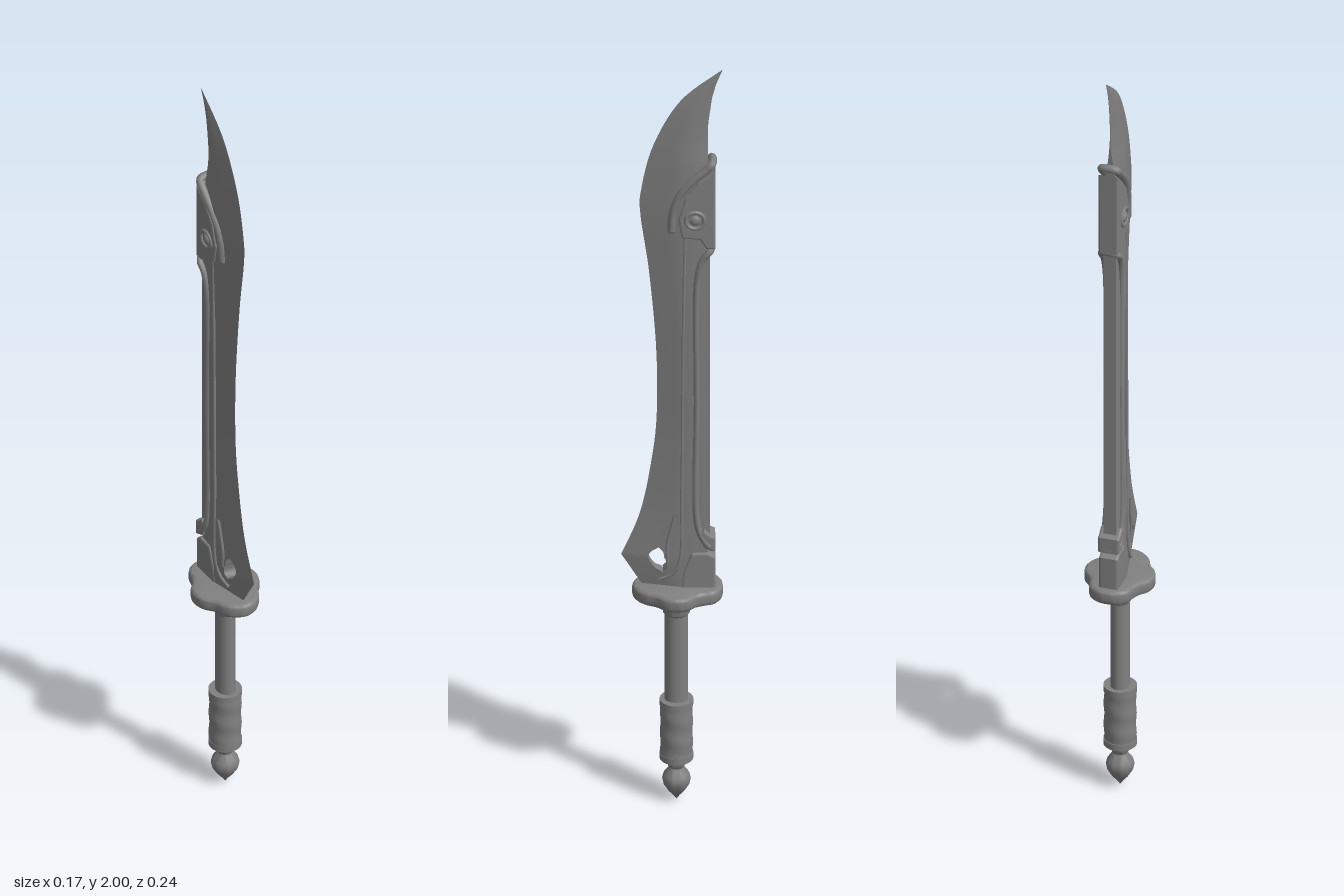
import * as THREE from 'three';
import { toCreasedNormals } from 'three/addons/utils/BufferGeometryUtils.js';

const mat = new THREE.MeshStandardMaterial({ color: 0x808080, side: THREE.DoubleSide });
const lerp = THREE.MathUtils.lerp;
const v3 = (p) => new THREE.Vector3(...p);

// Piecewise linear lookup in a table of [y, value], y descending
function table(rows, y) {
  for (let i = 1; i < rows.length; i++) {
    const [a, va] = rows[i - 1], [b, vb] = rows[i];
    if (y >= b) return lerp(va, vb, THREE.MathUtils.clamp((a - y) / (a - b), 0, 1));
  }
  return rows[rows.length - 1][1];
}

// Skin rings of equal length, ordered from top to bottom
function loft(rings) {
  const n = rings[0].length, index = [];
  for (let i = 0; i < rings.length - 1; i++) {
    for (let j = 0; j < n; j++) {
      const k = (j + 1) % n;
      const a = i * n + j, b = i * n + k, c = a + n, d = b + n;
      index.push(a, c, d, a, d, b);
    }
  }
  const g = new THREE.BufferGeometry();
  g.setAttribute('position', new THREE.Float32BufferAttribute(rings.flat(2), 3));
  g.setIndex(index);
  return toCreasedNormals(g, 1);
}

// Flat plate drawn as [z, y] points and thickened along x
function plate(points, half) {
  const bevel = 0.005;
  const shape = new THREE.Shape(points.map(([z, y]) => new THREE.Vector2(z, y)));
  const g = new THREE.ExtrudeGeometry(shape, {
    depth: 2 * (half - bevel), bevelThickness: bevel, bevelSize: bevel, bevelOffset: -bevel, bevelSegments: 2,
  });
  return g.translate(0, 0, bevel - half).rotateY(-Math.PI / 2);
}

// Path on the left side, carried over the spine to its mirror on the right
function wrapPath(points, closed) {
  const other = points.map(([x, y, z]) => [-x, y, z]).reverse();
  return new THREE.CatmullRomCurve3([...points, ...other].map(v3), closed, 'centripetal');
}

export function createModel() {
  const model = new THREE.Group();
  const add = (name, geometry, x = 0, y = 0, z = 0) => {
    const m = new THREE.Mesh(geometry, mat);
    m.name = name;
    m.position.set(x, y, z);
    model.add(m);
  };
  const lathe = (points) =>
    toCreasedNormals(new THREE.LatheGeometry(points.map((p) => new THREE.Vector2(...p)), 28), 0.7);

  // Blade: a wedge with a ridge, split along its length so the hole can open
  const edge = new THREE.SplineCurve([
    [-0.12, 2], [-0.02, 1.915], [0.045, 1.793], [0.074, 1.67], [0.075, 1.6], [0.055, 1.448],
    [0.038, 1.236], [0.037, 1.05], [0.051, 0.918], [0.077, 0.785], [0.121, 0.673],
  ].map((p) => new THREE.Vector2(...p)));
  const rows = edge.getPoints(100).map((p) => [p.y, p.x]);
  for (let i = 1; i <= 14; i++) rows.push([lerp(0.673, 0.58, i / 14), lerp(0.121, 0.065, i / 14)]);
  const backZ = [[2, -0.12], [1.96, -0.104], [1.92, -0.094], [1.85, -0.085], [0.58, -0.085]];
  const ridgeX = [[2, 0], [1.9, 0.011], [1.75, 0.02], [1.6, 0.022], [0.58, 0.022]];
  const backX = [[2, 0], [1.8, 0.001], [1.7, 0.015], [0.58, 0.016]];
  const front = [], rear = [];
  for (const [y, zf] of rows) {
    const zb = table(backZ, y), t = table(ridgeX, y), tb = table(backX, y);
    const zr = lerp(zf, zb, 0.62), zm = lerp(zf, zb, 0.4);
    const w = 0.02 * Math.sqrt(Math.max(0, 1 - ((y - 0.664) / 0.031) ** 2));
    const thick = (z) => t * (zf - z) / Math.max(zf - zr, 1e-5);
    const ta = thick(zm + w), tc = thick(zm - w);
    front.push([[0, y, zf], [ta, y, zm + w], [-ta, y, zm + w]]);
    rear.push([[tc, y, zm - w], [t, y, zr], [tb, y, zb], [-tb, y, zb], [-t, y, zr], [-tc, y, zm - w]]);
  }
  add('bladeEdge', loft(front));
  add('bladeBody', loft(rear));

  // Rail along the spine
  add('spineRail', new THREE.BoxGeometry(0.032, 0.78, 0.014), 0, 1.12, -0.082);

  // Raised border that loops round the spine at both ends
  const border = wrapPath([
    [0.02, 0.7, -0.092], [0.021, 0.72, -0.075], [0.019, 0.76, -0.06], [0.018, 1.1, -0.058],
    [0.019, 1.44, -0.06], [0.021, 1.49, -0.072], [0.02, 1.515, -0.092],
  ], true);
  add('spineBorder', new THREE.TubeGeometry(border, 200, 0.008, 8, true));

  // Fitting near the tip, with a hooked band over its top
  add('upperFitting', plate([
    [-0.102, 1.735], [-0.06, 1.7], [-0.03, 1.66], [-0.014, 1.6], [-0.022, 1.55],
    [-0.065, 1.545], [-0.08, 1.52], [-0.102, 1.52],
  ], 0.025));
  const hook = [
    [0.014, 1.57, 0.002], [0.016, 1.62, -0.002], [0.018, 1.665, -0.018], [0.02, 1.705, -0.048],
    [0.02, 1.735, -0.08], [0.018, 1.75, -0.094],
  ];
  add('hookBand', new THREE.TubeGeometry(wrapPath(hook, false), 100, 0.01, 8));

  // Fitting at the foot of the blade
  add('lowerFitting', plate([
    [-0.102, 0.58], [-0.102, 0.675], [-0.085, 0.685], [-0.045, 0.685], [-0.025, 0.63], [-0.02, 0.58],
  ], 0.024));
  add('lowerHook', plate([
    [-0.102, 0.69], [-0.102, 0.73], [-0.09, 0.735], [-0.075, 0.75], [-0.065, 0.74], [-0.075, 0.7],
  ], 0.027));

  for (const s of [1, -1]) {
    // Hook end, boss, fine line and rib on each face
    add('hookEnd', new THREE.SphereGeometry(0.01, 10, 8), s * 0.014, 1.57, 0.002);
    add('bossRing', new THREE.TorusGeometry(0.022, 0.005, 8, 24).rotateY(Math.PI / 2), s * 0.025, 1.6, -0.054);
    add('boss', new THREE.SphereGeometry(0.013, 14, 10).scale(0.5, 1, 1), s * 0.025, 1.6, -0.054);
    const line = new THREE.CatmullRomCurve3([
      [s * 0.021, 1.55, -0.03], [s * 0.021, 1.3, -0.026], [s * 0.021, 0.85, -0.022],
      [s * 0.022, 0.66, -0.016], [s * 0.02, 0.625, 0.004], [s * 0.015, 0.612, 0.03],
    ].map(v3));
    add('faceLine', new THREE.TubeGeometry(line, 60, 0.004, 6));
    const rib = new THREE.CatmullRomCurve3([
      [s * 0.018, 0.66, 0.01], [s * 0.02, 0.71, 0.012], [s * 0.02, 0.75, 0.003], [s * 0.021, 0.79, -0.006],
    ].map(v3));
    add('holeRib', new THREE.TubeGeometry(rib, 24, 0.004, 6));
  }

  // Lobed guard
  const half = [
    [0.027, -0.115], [0.047, -0.099], [0.055, -0.075], [0.063, -0.056], [0.08, -0.036], [0.086, -0.01],
    [0.078, 0.018], [0.06, 0.04], [0.049, 0.064], [0.029, 0.085],
  ];
  const outline = [[0, -0.12], ...half, [0, 0.095], ...half.map(([x, z]) => [-x, z]).reverse()];
  const spline = new THREE.CatmullRomCurve3(outline.map(([x, z]) => v3([x, -z, 0])), true);
  const guardShape = new THREE.Shape(spline.getPoints(88).slice(0, -1).map((p) => new THREE.Vector2(p.x, p.y)));
  const guard = new THREE.ExtrudeGeometry(guardShape, {
    depth: 0.018, bevelThickness: 0.009, bevelSize: 0.008, bevelOffset: -0.008, bevelSegments: 3,
  }).rotateX(-Math.PI / 2);
  add('guard', toCreasedNormals(guard, 0.6), 0, 0.566, 0);

  // Oval collar and handle
  const collar = lathe([
    [0, 0.508], [0.026, 0.508], [0.031, 0.514], [0.031, 0.53], [0.036, 0.537], [0.036, 0.562], [0, 0.562],
  ]);
  add('collar', collar.scale(0.88, 1, 1.03), 0, 0, -0.01);
  add('handle', new THREE.CylinderGeometry(0.028, 0.028, 0.27, 24).scale(0.82, 1, 1), 0, 0.39, -0.01);

  // Wrapped grip with shallow slanted folds
  const grip = new THREE.CylinderGeometry(0.0385, 0.0385, 0.15, 32, 20, true).translate(0, 0.195, 0);
  const pos = grip.attributes.position;
  for (let i = 0; i < pos.count; i++) {
    const x = pos.getX(i), y = pos.getY(i), z = pos.getZ(i);
    const k = 1 + 0.025 * Math.sin(y * 110 + Math.atan2(x, z));
    pos.setXYZ(i, x * k, y, z * k);
  }
  grip.computeVertexNormals();
  add('grip', grip, 0, 0, -0.01);
  for (const y of [0.122, 0.268]) {
    add('gripBand', new THREE.CylinderGeometry(0.04, 0.04, 0.016, 32), 0, y, -0.01);
  }

  // Pointed pommel on a short neck
  add('pommel', lathe([
    [0, 0], [0.008, 0.012], [0.02, 0.026], [0.031, 0.044], [0.034, 0.058], [0.031, 0.07],
    [0.022, 0.082], [0.018, 0.09], [0.023, 0.1], [0.024, 0.112], [0.018, 0.12], [0, 0.12],
  ]), 0, 0, -0.01);

  return model;
}
